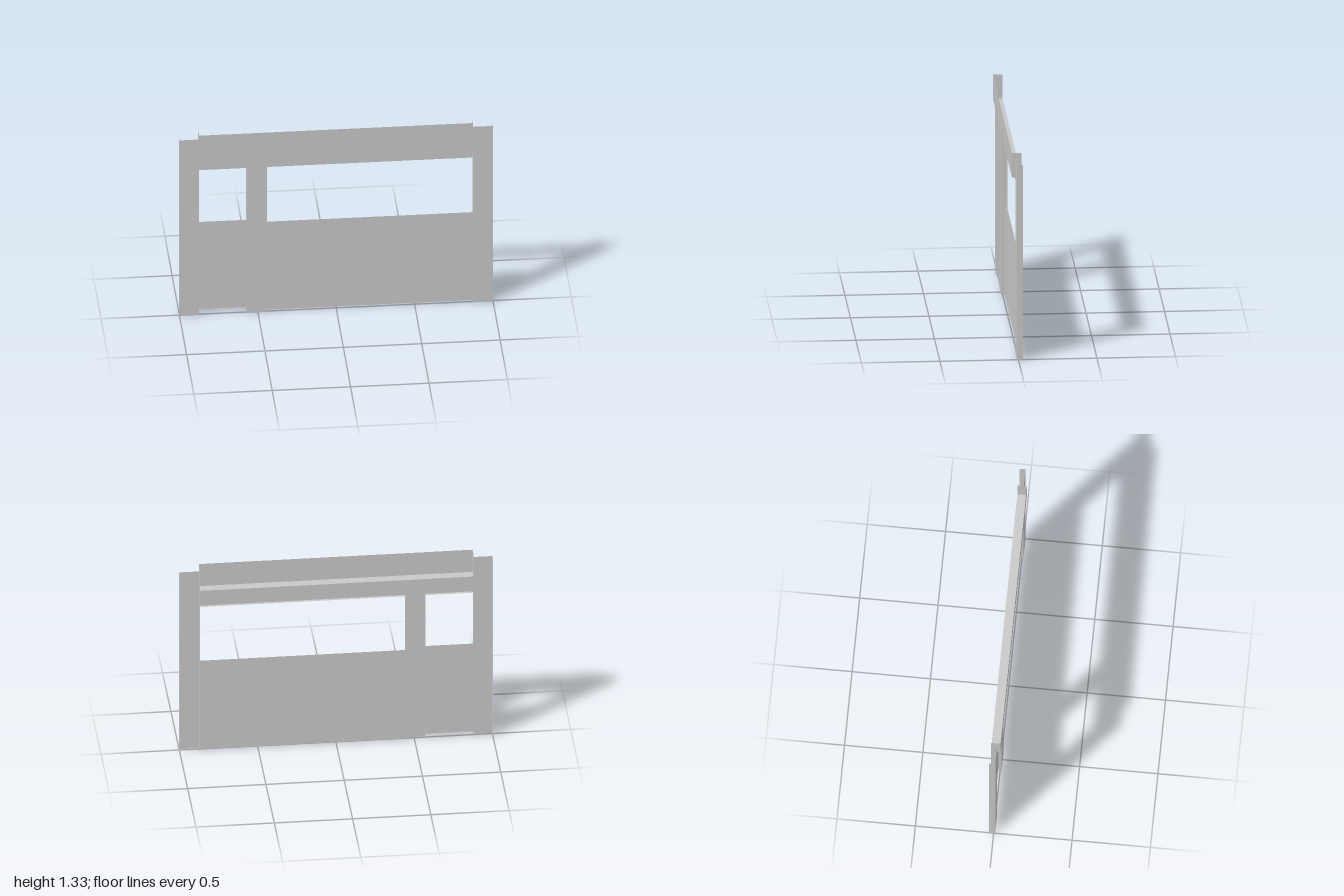
import * as THREE from 'three';

export function createModel() {
  const model = new THREE.Group();
  model.name = 'doorFrame';
  const metal = new THREE.MeshStandardMaterial({ color: 0xc8c8c8, side: THREE.DoubleSide });
  metal.name = 'light grey sheet metal';

  // depths: channel backs, infill plane, post faces, header face
  const BACK = -0.03, INFILL = -0.012, FACE = 0.01, HEAD = 0.032;
  const HEAD_Y = 1.17, HEAD_TOP = 1.331, HEAD_X0 = -0.877, HEAD_X1 = 0.871;

  function sheet(parent, name, w, h, x, y, z, rx = 0, ry = 0) {
    const mesh = new THREE.Mesh(new THREE.PlaneGeometry(w, h), metal);
    mesh.name = name;
    mesh.position.set(x, y, z);
    mesh.rotation.set(rx, ry, 0);
    parent.add(mesh);
  }
  function part(name) {
    const g = new THREE.Group();
    g.name = name;
    model.add(g);
    return g;
  }
  // upright sheet facing the front
  const front = (p, name, x0, x1, y0, y1, z) =>
    sheet(p, name, x1 - x0, y1 - y0, (x0 + x1) / 2, (y0 + y1) / 2, z);
  // upright sheet facing left
  const flange = (p, name, x, y0, y1, z0, z1) =>
    sheet(p, name, z1 - z0, y1 - y0, x, (y0 + y1) / 2, (z0 + z1) / 2, 0, Math.PI / 2);
  // horizontal sheet facing up
  const shelf = (p, name, x0, x1, y, z0, z1) =>
    sheet(p, name, x1 - x0, z1 - z0, (x0 + x1) / 2, y, (z0 + z1) / 2, -Math.PI / 2);

  // channel posts, open at the back
  for (const [name, x0, x1, top] of [
    ['rightPost', -1, -0.877, 1.29],
    ['middlePost', -0.571, -0.442, HEAD_Y],
    ['leftPost', 0.872, 1, 1.29],
  ]) {
    const post = part(name);
    front(post, 'postFace', x0, x1, 0, top, FACE);
    for (const x of [x0, x1]) flange(post, 'postFlange', x, 0, top, BACK, FACE);
  }

  // header tray, open at the top and back
  const header = part('header');
  front(header, 'headerFace', HEAD_X0, HEAD_X1, HEAD_Y, HEAD_TOP, HEAD);
  shelf(header, 'headerBottom', HEAD_X0, HEAD_X1, HEAD_Y, BACK, HEAD);
  for (const x of [HEAD_X0, HEAD_X1]) flange(header, 'headerEnd', x, HEAD_Y, HEAD_TOP, BACK, HEAD);

  // lintels and lower panels filling the two bays
  for (const [side, x0, x1, y0, y1] of [
    ['narrow', -0.877, -0.571, 0.032, 0.671],
    ['wide', -0.442, 0.872, 0.004, 0.65],
  ]) {
    const lintel = part(side + 'Lintel');
    front(lintel, 'lintelFace', x0, x1, 1.052, HEAD_Y, INFILL);
    shelf(lintel, 'lintelLip', x0, x1, 1.052, BACK, INFILL);
    front(model, side + 'Panel', x0, x1, y0, y1, INFILL);
  }
  return model;
}
